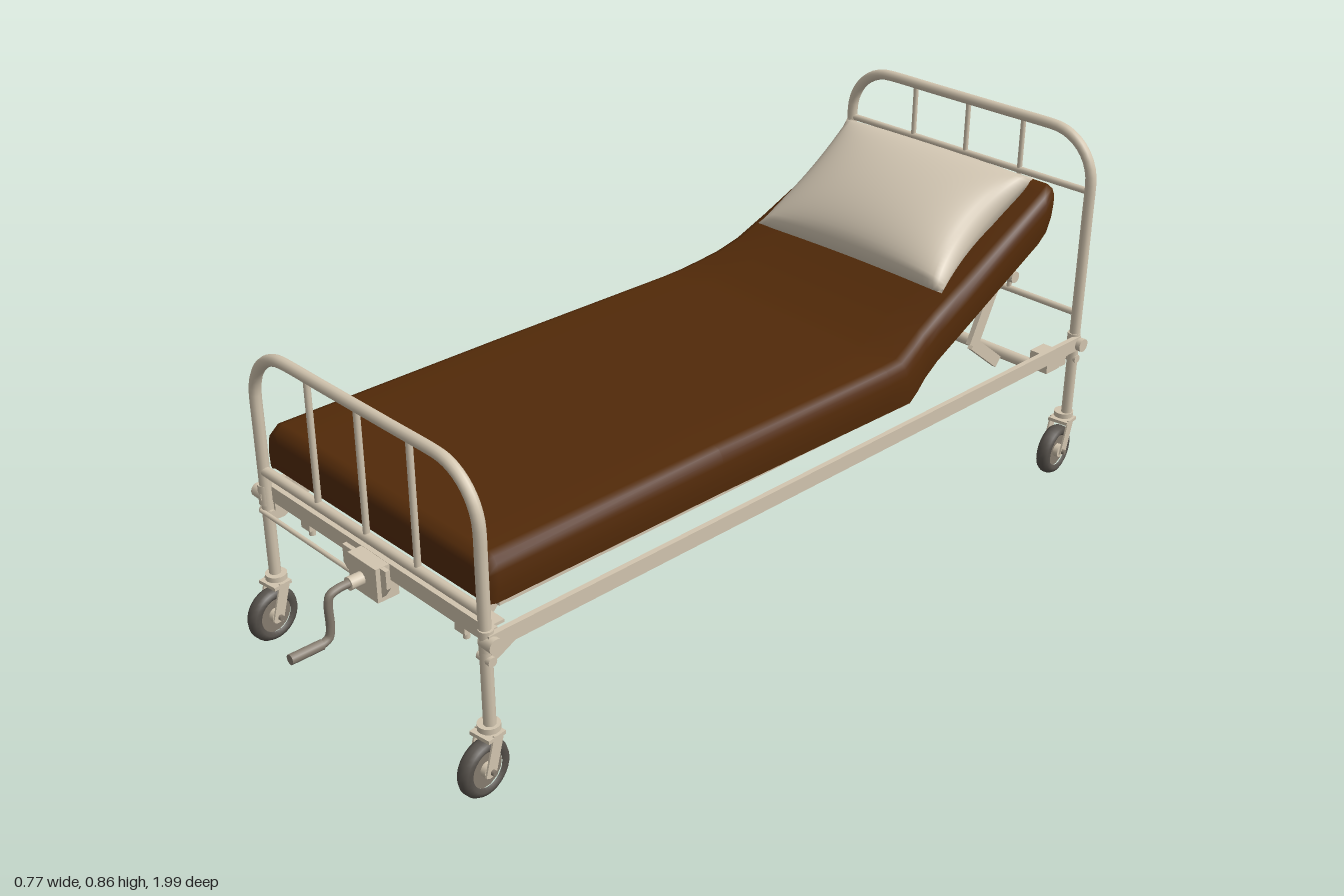
import * as THREE from 'three';
import { mergeGeometries, mergeVertices } from 'three/addons/utils/BufferGeometryUtils.js';

const V = (x, y, z) => new THREE.Vector3(x, y, z);

function material(name, color, side = THREE.FrontSide) {
  const m = new THREE.MeshStandardMaterial({ color, side });
  m.name = name;
  return m;
}

export function createModel() {
  const steel = material('cream painted steel', 0xd2c5af);
  const linen = material('pillow linen', 0xd4c8b4);
  const brown = material('brown cover', 0x522a09, THREE.DoubleSide);
  const rubber = material('dark rubber', 0x56514b);
  const grey = material('worn grey metal', 0x857b6e);
  const model = new THREE.Group();
  model.name = 'hospitalBed';

  function add(name, geo, mat = steel, parent = model) {
    const m = new THREE.Mesh(geo, mat);
    m.name = name;
    parent.add(m);
    return m;
  }
  function box(name, w, h, d, x, y, z, mat, parent) {
    const m = add(name, new THREE.BoxGeometry(w, h, d), mat, parent);
    m.position.set(x, y, z);
    return m;
  }
  // Lay a part along the line between two points
  function along(m, a, b) {
    m.position.copy(a).add(b).multiplyScalar(0.5);
    m.quaternion.setFromUnitVectors(V(0, 1, 0), b.clone().sub(a).normalize());
    return m;
  }
  // Straight round bar
  function rod(name, a, b, r, mat, parent) {
    return along(add(name, new THREE.CylinderGeometry(r, r, a.distanceTo(b), 14), mat, parent), a, b);
  }
  // Flat bar
  function strap(name, a, b, w, t) {
    return along(add(name, new THREE.BoxGeometry(t, a.distanceTo(b), w)), a, b);
  }
  // Bent end hoop with rounded upper corners
  function hoop(name, x, top, corner, z, bottom, r) {
    const pts = [];
    for (const s of [-1, 1]) {
      const half = [V(s * x, bottom, z), V(s * x, top - corner - 0.06, z)];
      for (let i = 0; i <= 8; i++) {
        const a = (i / 8) * Math.PI / 2;
        half.push(V(s * (x - corner + corner * Math.cos(a)), top - corner + corner * Math.sin(a), z));
      }
      half.push(V(s * 0.1, top, z));
      pts.push(...(s < 0 ? half : half.reverse()));
    }
    add(name, new THREE.TubeGeometry(new THREE.CatmullRomCurve3(pts, false, 'centripetal'), 110, r, 12));
  }

  // Head and foot ends
  hoop('headHoop', 0.358, 0.845, 0.115, -0.968, 0.14, 0.0125);
  hoop('footHoop', 0.353, 0.674, 0.115, 0.8, 0.14, 0.0125);
  for (const x of [-0.16, 0, 0.16]) {
    rod('headUpright', V(x, 0.41, -0.968), V(x, 0.845, -0.968), 0.006);
    rod('footUpright', V(x, 0.39, 0.8), V(x, 0.674, 0.8), 0.007);
  }
  for (const y of [0.713, 0.41]) rod('headCrossBar', V(-0.358, y, -0.968), V(0.358, y, -0.968), 0.008);
  rod('footCrossBar', V(-0.353, 0.393, 0.8), V(0.353, 0.393, 0.8), 0.011);

  // Main frame with side rails, foot rail, corner collars and gussets
  box('footRail', 0.72, 0.036, 0.016, 0, 0.338, 0.785);
  box('footRailFlange', 0.7, 0.006, 0.035, 0, 0.353, 0.77);
  const gusset = new THREE.Shape([new THREE.Vector2(0, 0), new THREE.Vector2(0.1, 0),
    new THREE.Vector2(0.08, -0.02), new THREE.Vector2(0.02, -0.05), new THREE.Vector2(0, -0.05)].reverse());
  const gussetGeo = new THREE.ExtrudeGeometry(gusset, { depth: 0.008, bevelEnabled: false });
  for (const s of [-1, 1]) {
    box('sideRail', 0.012, 0.034, 1.78, s * 0.367, 0.337, -0.083);
    for (const z of [0.8, -0.968]) {
      const front = z > 0;
      rod('cornerCollar', V(s * 0.356, 0.315, z), V(s * 0.356, 0.36, z), 0.015);
      rod('cornerBolt', V(s * 0.35, 0.335, z), V(s * 0.385, 0.335, z), 0.016);
      rod('lowerBolt', V(s * 0.335, 0.295, z), V(s * 0.372, 0.295, z), 0.01);
      const g = add('cornerGusset', gussetGeo);
      g.rotation.y = front ? Math.PI / 2 : -Math.PI / 2;
      g.position.set(s * 0.345 - (front ? 0.004 : -0.004), 0.328, front ? 0.79 : -0.955);
    }
    // Foot-end brackets below the rail
    box('footBracket', 0.03, 0.035, 0.03, s * 0.25, 0.307, 0.765);
    rod('bracketPin', V(s * 0.25, 0.272, 0.765), V(s * 0.25, 0.31, 0.765), 0.007);
    strap('mattressStop', V(s * 0.3, 0.34, 0.775), V(s * 0.3, 0.395, 0.72), 0.03, 0.02);
  }

  // Fixed support frame under the flat part
  for (const s of [-1, 1]) {
    box('supportEdge', 0.018, 0.018, 1.13, s * 0.325, 0.384, 0.185);
    rod('supportRail', V(s * 0.25, 0.373, 0.5), V(s * 0.25, 0.373, -0.4), 0.012);
    for (const z of [0.48, 0.15, -0.36]) box('railSaddle', 0.035, 0.03, 0.05, s * 0.25, 0.368, z);
  }
  for (const z of [0.47, 0.13, -0.34, -0.4]) rod('supportCrossBar', V(-0.25, 0.373, z), V(0.25, 0.373, z), 0.01);

  // Raised backrest frame with its sheet, struts and the torque tube
  const slope = (z) => 0.365 + (-0.38 - z) * 0.47;
  for (const s of [-1, 1]) {
    rod('backrestRail', V(s * 0.27, slope(-0.38), -0.38), V(s * 0.27, slope(-0.9), -0.9), 0.012);
    strap('backrestEdge', V(s * 0.295, slope(-0.4) + 0.022, -0.4), V(s * 0.285, slope(-0.9) + 0.022, -0.9), 0.014, 0.018);
    strap('strutHanger', V(s * 0.24, slope(-0.8), -0.8), V(s * 0.24, 0.51, -0.845), 0.022, 0.012);
    strap('liftStrut', V(s * 0.24, 0.53, -0.81), V(s * 0.24, 0.365, -0.73), 0.035, 0.012);
    strap('liftLever', V(s * 0.24, 0.37, -0.73), V(s * 0.24, 0.29, -0.83), 0.028, 0.012);
    rod('strutPivot', V(s * 0.215, 0.51, -0.842), V(s * 0.265, 0.51, -0.842), 0.014);
    box('tubeMount', 0.05, 0.045, 0.05, s * 0.338, 0.312, -0.885);
  }
  strap('backrestSheet', V(0, slope(-0.45) + 0.02, -0.45), V(0, slope(-0.8) + 0.02, -0.8), 0.006, 0.5);
  for (const z of [-0.44, -0.9]) rod('backrestCrossBar', V(-0.27, slope(z), z), V(0.27, slope(z), z), 0.011);
  rod('torqueTube', V(-0.32, 0.293, -0.87), V(0.32, 0.293, -0.87), 0.014);

  // Crank gearbox and handle
  box('gearbox', 0.09, 0.075, 0.05, 0.012, 0.318, 0.8);
  const plate = new THREE.Shape([[-0.065, 0.355], [0.075, 0.355], [0.075, 0.315], [0.05, 0.28],
    [-0.03, 0.28], [-0.065, 0.315]].map((p) => new THREE.Vector2(...p)).reverse());
  add('gearboxPlate', new THREE.ExtrudeGeometry(plate, { depth: 0.01, bevelEnabled: false })).position.z = 0.805;
  rod('crankRod', V(-0.36, 0.3, 0.812), V(-0.03, 0.3, 0.812), 0.005);
  rod('crankSocket', V(0.007, 0.315, 0.82), V(0.007, 0.315, 0.855), 0.014);
  const crank = [[0.315, 0.83], [0.315, 0.88], [0.308, 0.898], [0.29, 0.903], [0.24, 0.903], [0.218, 0.908], [0.21, 0.925], [0.21, 0.96]];
  add('crankArm', new THREE.TubeGeometry(new THREE.CatmullRomCurve3(crank.map(([y, z]) => V(0.007, y, z)), false, 'centripetal'), 40, 0.009, 10), grey);
  rod('crankGrip', V(0.007, 0.21, 0.925), V(0.007, 0.21, 0.997), 0.011, grey);

  // Four swivel casters
  const tyre = [[0.038, -0.012], [0.046, -0.018], [0.055, -0.014], [0.06, -0.006], [0.06, 0.006], [0.055, 0.014], [0.046, 0.018], [0.038, 0.012]];
  const tyreGeo = new THREE.LatheGeometry(tyre.map((p) => new THREE.Vector2(...p)), 32).rotateZ(Math.PI / 2);
  for (const s of [-1, 1]) for (const [z, off] of [[0.8, 0.02], [-0.968, 0.035]]) {
    const c = new THREE.Group();
    c.name = 'caster';
    c.position.set(s * 0.35, 0, z);
    c.rotation.y = 0.12;
    model.add(c);
    add('tyre', tyreGeo, rubber, c).position.set(0, 0.06, off);
    rod('wheelDisc', V(-0.008, 0.06, off), V(0.008, 0.06, off), 0.041, grey, c);
    rod('hub', V(-0.02, 0.06, off), V(0.02, 0.06, off), 0.016, steel, c);
    rod('axle', V(-0.032, 0.06, off), V(0.032, 0.06, off), 0.006, grey, c);
    for (const t of [-1, 1]) {
      const leg = box('forkLeg', 0.004, 0.085, 0.026, t * 0.023, 0.092, off / 2 + 0.002, steel, c);
      leg.rotation.x = -0.3;
    }
    box('forkCrown', 0.05, 0.008, 0.045, 0, 0.13, 0.004, steel, c);
    rod('swivelCollar', V(0, 0.138, 0), V(0, 0.15, 0), 0.023, steel, c);
  }

  // Mattress cover: open shell lofted along [zTop, yTop, zBottom, yBottom, halfWidth]
  const stations = [
    [0.788, 0.402, 0.788, 0.4, 0.33], [0.79, 0.465, 0.79, 0.4, 0.335], [0.784, 0.485, 0.786, 0.4, 0.347],
    [0.762, 0.495, 0.77, 0.4, 0.355], [0.2, 0.494, 0.2, 0.398, 0.355], [-0.3, 0.49, -0.3, 0.39, 0.355],
    [-0.35, 0.492, -0.37, 0.388, 0.354], [-0.4, 0.504, -0.41, 0.398, 0.342], [-0.45, 0.518, -0.45, 0.412, 0.329],
    [-0.51, 0.538, -0.5, 0.432, 0.32], [-0.6, 0.576, -0.585, 0.47, 0.316], [-0.89, 0.708, -0.86, 0.6, 0.306],
    [-0.925, 0.72, -0.895, 0.617, 0.3], [-0.942, 0.702, -0.912, 0.625, 0.288], [-0.936, 0.67, -0.915, 0.627, 0.28],
    [-0.916, 0.629, -0.915, 0.627, 0.275]];
  const side = [[0, 0], [-0.003, 0.35], [0, 0.65], [0.004, 0.82], [0.013, 0.94], [0.03, 1], [0.12, 1.01]];
  const pos = [], idx = [], n = side.length * 2;
  stations.forEach(([zt, yt, zb, yb, w], i) => {
    const put = (x, h) => pos.push(x, yb + (yt - yb) * h, zb + (zt - zb) * h);
    side.forEach(([d, h]) => put(-w + d, h));
    [...side].reverse().forEach(([d, h]) => put(w - d, h));
    if (i) for (let j = 0; j < n - 1; j++) {
      const a = (i - 1) * n + j, c = a + n;
      idx.push(a, a + 1, c, a + 1, c + 1, c);
    }
  });
  const cover = new THREE.BufferGeometry();
  cover.setAttribute('position', new THREE.Float32BufferAttribute(pos, 3));
  cover.setIndex(idx);
  cover.computeVertexNormals();
  add('mattress', cover, brown);

  // Pillow: bulged upper sheet and a fuller lower sheet that sinks into the mattress
  const sheets = [[1, 0.077, 0.45], [-1, 0.08, 0.3]].map(([s, depth, power]) => {
    const g = new THREE.PlaneGeometry(2, 2, 40, 32).rotateX(-s * Math.PI / 2);
    const p = g.attributes.position;
    for (let i = 0; i < p.count; i++) {
      const u = p.getX(i), v = p.getZ(i);
      const a = Math.max(0, 1 - u * u), b = Math.max(0, 1 - v * v);
      p.setXYZ(i, 0.28 * u * (1 - 0.1 * b), s * depth * Math.pow(a * b, power), 0.18 * v * (1 - 0.04 * a));
    }
    g.deleteAttribute('normal');
    g.deleteAttribute('uv');
    return g;
  });
  const pillowGeo = mergeVertices(mergeGeometries(sheets));
  pillowGeo.computeVertexNormals();
  const pillow = add('pillow', pillowGeo, linen);
  pillow.position.set(0, 0.66, -0.705);
  pillow.rotation.x = 0.55;

  return model;
}
